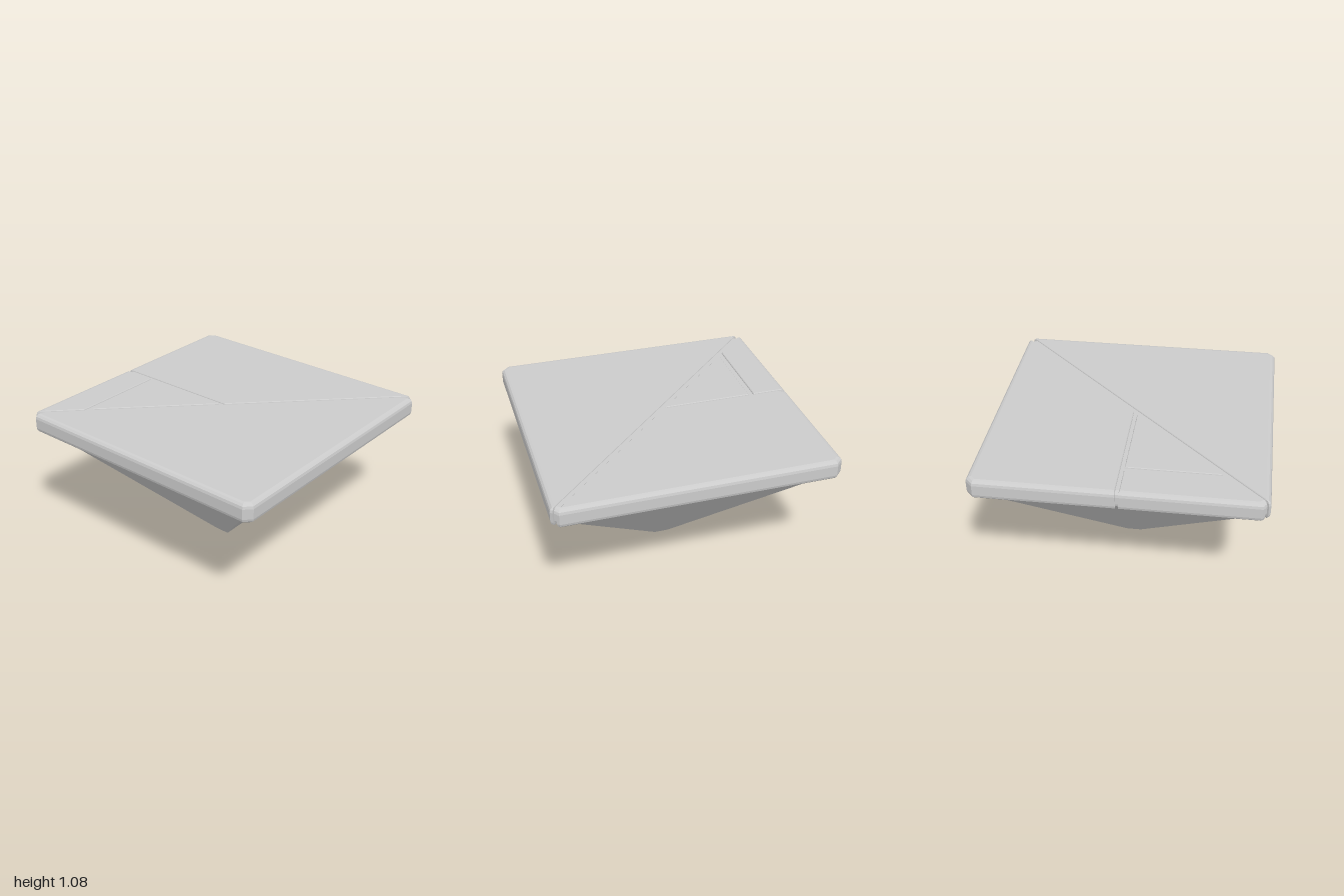
import * as THREE from 'three';

const Y0 = 0.93, Y1 = 1.075;
const OUTER = 0.036, INNER = 0.009; // bevel widths: rim edges, groove edges

// Join convex rings (bottom to top, counter-clockwise from above) and cap both ends.
function loft(rings) {
  const n = rings[0].length, pos = rings.flat(2), idx = [];
  for (let r = 0; r < rings.length - 1; r++) {
    for (let i = 0; i < n; i++) {
      const a = r * n + i, b = r * n + (i + 1) % n;
      idx.push(a, b, b + n, a, b + n, a + n);
    }
  }
  const top = (rings.length - 1) * n;
  for (let i = 1; i < n - 1; i++) {
    idx.push(0, i + 1, i, top, top + i, top + i + 1);
  }
  const geo = new THREE.BufferGeometry();
  geo.setAttribute('position', new THREE.Float32BufferAttribute(pos, 3));
  geo.setIndex(idx);
  const flat = geo.toNonIndexed();
  flat.computeVertexNormals();
  return flat;
}

// Square outline with cut corners.
function cutSquare(h, c) {
  const k = h - c;
  return [[h, -k], [k, -h], [-k, -h], [-h, -k], [-h, k], [-k, h], [k, h], [h, k]];
}

// Move every edge of an outline inward by t times its own bevel width.
function insetOutline(pts, t) {
  const n = pts.length;
  const lines = pts.map(([x, z], i) => {
    const [x2, z2] = pts[(i + 1) % n];
    const len = Math.hypot(x2 - x, z2 - z);
    const nx = (z2 - z) / len, nz = -(x2 - x) / len; // inward normal
    const rim = Math.max(Math.abs(x + x2), Math.abs(z + z2)) / 2 > 0.96;
    return [nx, nz, nx * x + nz * z + t * (rim ? OUTER : INNER)];
  });
  return lines.map(([a2, b2, c2], i) => {
    const [a1, b1, c1] = lines[(i + n - 1) % n];
    const d = a1 * b2 - a2 * b1;
    return [(c1 * b2 - c2 * b1) / d, (a1 * c2 - a2 * c1) / d];
  });
}

// Plate with rounded top and bottom edges.
function plate(outline, y0, y1) {
  const area = outline.reduce((s, [x, z], i) => {
    const [x2, z2] = outline[(i + 1) % outline.length];
    return s + x * z2 - x2 * z;
  }, 0);
  const pts = area > 0 ? [...outline].reverse() : outline;
  const steps = 3, rings = [];
  for (const side of [0, 1]) {
    for (let s = 0; s <= steps; s++) {
      const a = (side ? s : steps - s) / steps * Math.PI / 2;
      const rise = OUTER * (1 - Math.sin(a));
      const y = side ? y1 - rise : y0 + rise;
      rings.push(insetOutline(pts, 1 - Math.cos(a)).map(([x, z]) => [x, y, z]));
    }
  }
  return loft(rings);
}

export function createModel() {
  const model = new THREE.Group();
  const material = new THREE.MeshStandardMaterial({ color: 0xcccccc, flatShading: true });
  const add = (name, geo) => {
    const mesh = new THREE.Mesh(geo, material);
    mesh.name = name;
    model.add(mesh);
  };

  // Inverted pyramid with slim corner cuts and a small flat foot
  const level = (h, c, y) => cutSquare(h, c).map(([x, z]) => [x, y, z]);
  add('pyramidBase', loft([level(0.055, 0.003, 0), level(0.945, 0.03, Y0 + 0.01)]));

  // Recessed slab that forms the groove floors
  add('slabCore', plate(cutSquare(0.985, 0.04), Y0 + 0.008, Y1 - 0.01));

  // Raised panels separated by grooves
  const panels = {
    frontPanel: [[0.965, 0.985], [0.95, 1], [-0.95, 1], [-1, 0.95], [-1, -0.95], [-0.985, -0.965]],
    sidePanel: [[0, -0.02], [0, -1], [0.95, -1], [1, -0.95], [1, 0.95], [0.985, 0.965]],
    backStrip: [[-0.965, -0.985], [-0.95, -1], [-0.02, -1], [-0.02, -0.74], [-0.72, -0.74]],
    triangleInset: [[-0.685, -0.71], [-0.02, -0.71], [-0.02, -0.045]],
  };
  for (const [name, outline] of Object.entries(panels)) add(name, plate(outline, Y0, Y1));

  return model;
}
